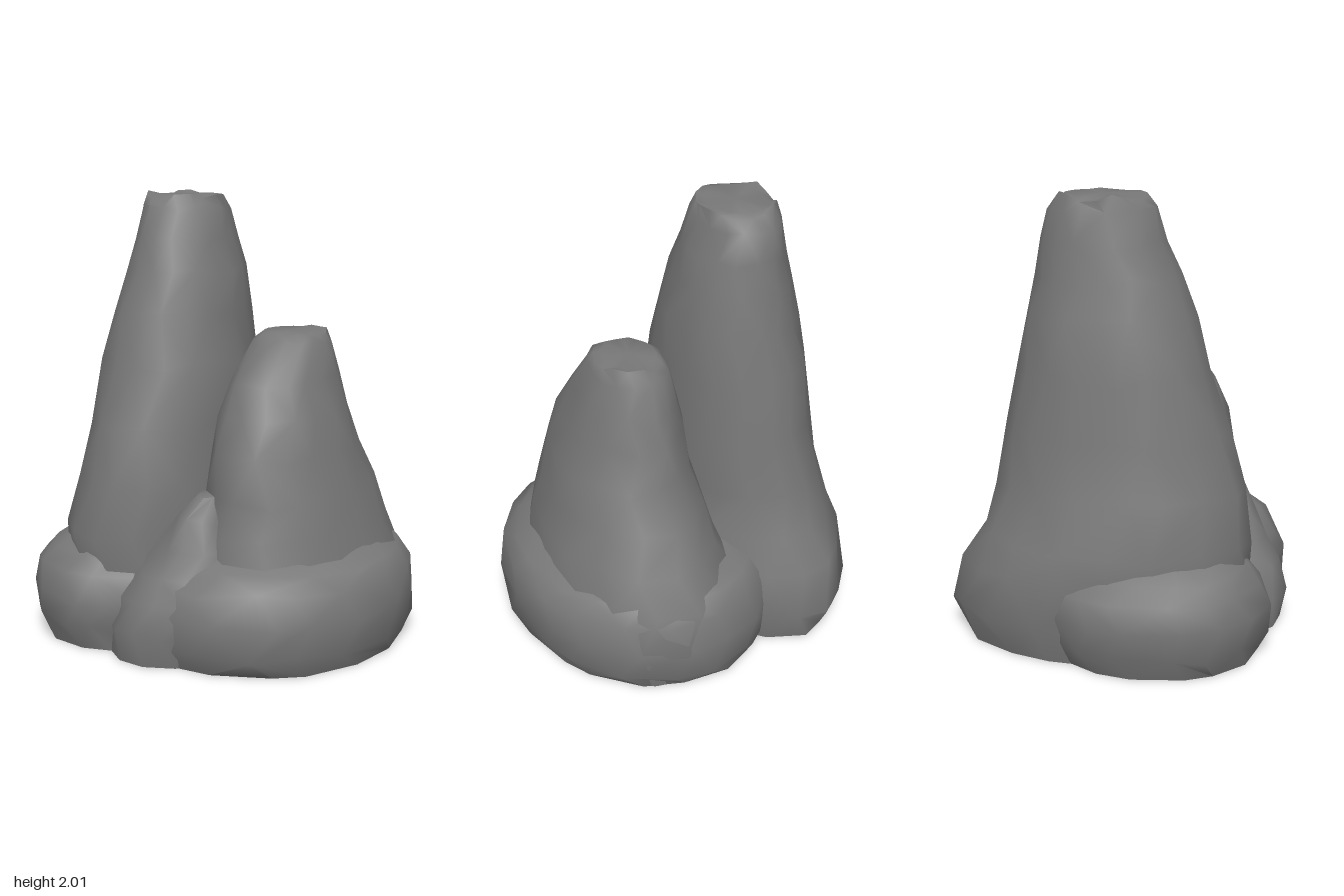
import * as THREE from 'three';
import { toCreasedNormals } from 'three/addons/utils/BufferGeometryUtils.js';

// Small seeded generator for the rough rock surface, returns -1..1
function seeded(seed) {
  let s = seed;
  return () => {
    s = (s * 16807) % 2147483647;
    return (s / 2147483647) * 2 - 1;
  };
}

// Loft a rock through elliptical sections [y, xMin, xMax, zMin, zMax], with chipped irregular facets
function rock(name, sections, sides, rough, seed, material) {
  const rnd = seeded(seed);
  for (let i = 0; i < 5; i++) rnd();
  const pos = [];
  const index = [];
  const turn = Array.from({ length: sides }, () => rnd() * 0.06);
  const groove = Array.from({ length: sides }, () => rnd() * rough * 0.5);
  const last = sections.length - 1;
  sections.forEach(([y, x0, x1, z0, z1], r) => {
    const flat = r === 0 || r === last;
    for (let i = 0; i < sides; i++) {
      const a = ((i + (r % 2) * 0.35) / sides) * Math.PI * 2 + turn[i] + rnd() * 0.04;
      const k = 1.01 + groove[i] + rnd() * rough;
      pos.push(
        (x0 + x1) / 2 + Math.cos(a) * k * (x1 - x0) / 2,
        y + (flat ? 0 : rnd() * 0.02),
        (z0 + z1) / 2 + Math.sin(a) * k * (z1 - z0) / 2
      );
    }
  });
  for (let r = 0; r < last; r++) {
    for (let i = 0; i < sides; i++) {
      const a = r * sides + i, b = r * sides + (i + 1) % sides;
      const c = a + sides, d = b + sides;
      if ((i + r) % 2) index.push(a, c, b, b, c, d);
      else index.push(a, c, d, a, d, b);
    }
  }
  // Flat underside and flat top
  for (const r of [0, last]) {
    const [y, x0, x1, z0, z1] = sections[r];
    const centre = pos.length / 3;
    pos.push((x0 + x1) / 2, y, (z0 + z1) / 2);
    for (let i = 0; i < sides; i++) {
      const a = r * sides + i, b = r * sides + (i + 1) % sides;
      if (r) index.push(centre, b, a);
      else index.push(centre, a, b);
    }
  }
  const geometry = new THREE.BufferGeometry();
  geometry.setAttribute('position', new THREE.Float32BufferAttribute(pos, 3));
  geometry.setIndex(index);
  const mesh = new THREE.Mesh(toCreasedNormals(geometry, 0.95), material);
  mesh.name = name;
  return mesh;
}

export function createModel() {
  const model = new THREE.Group();
  model.name = 'rockFormation';
  const stone = new THREE.MeshStandardMaterial({ color: 0x787878 });
  stone.name = 'grey stone';

  // Tall spire
  model.add(rock('tallSpire', [
    [0, -0.70, 0.06, -0.69, 0.55],
    [0.15, -0.74, 0.08, -0.74, 0.60],
    [0.36, -0.74, 0.09, -0.69, 0.61],
    [0.50, -0.73, 0.08, -0.59, 0.61],
    [0.72, -0.67, 0.06, -0.53, 0.58],
    [0.98, -0.62, 0.06, -0.49, 0.51],
    [1.25, -0.60, 0.05, -0.44, 0.42],
    [1.48, -0.55, 0.02, -0.40, 0.35],
    [1.66, -0.51, -0.01, -0.36, 0.29],
    [1.80, -0.48, -0.05, -0.33, 0.22],
    [1.94, -0.45, -0.09, -0.30, 0.18],
    [1.995, -0.44, -0.11, -0.25, 0.14],
    [2.00, -0.40, -0.14, -0.22, 0.10]
  ], 17, 0.022, 71, stone));

  // Short spire, flaring into its foot at the back
  model.add(rock('shortSpire', [
    [0, -0.15, 0.74, -0.70, 0.55],
    [0.22, -0.15, 0.76, -0.73, 0.57],
    [0.40, -0.12, 0.73, -0.69, 0.54],
    [0.55, -0.06, 0.69, -0.61, 0.50],
    [0.70, -0.02, 0.64, -0.52, 0.47],
    [0.88, 0.01, 0.59, -0.42, 0.43],
    [1.05, 0.03, 0.54, -0.37, 0.37],
    [1.20, 0.06, 0.49, -0.33, 0.28],
    [1.35, 0.11, 0.45, -0.28, 0.13],
    [1.39, 0.13, 0.43, -0.24, 0.09],
    [1.40, 0.16, 0.39, -0.21, 0.06]
  ], 16, 0.022, 523, stone));

  // Broad boulder around the foot of the short spire
  model.add(rock('rightBoulder', [
    [0, -0.35, 0.80, -0.71, 0.67],
    [0.08, -0.38, 0.84, -0.74, 0.71],
    [0.22, -0.39, 0.85, -0.75, 0.71],
    [0.35, -0.37, 0.83, -0.72, 0.67],
    [0.42, -0.30, 0.78, -0.66, 0.59],
    [0.48, -0.16, 0.67, -0.50, 0.46]
  ], 18, 0.014, 907, stone));

  // Boulder at the foot of the tall spire
  model.add(rock('leftBoulder', [
    [0, -0.79, 0.00, -0.26, 0.66],
    [0.10, -0.83, 0.02, -0.33, 0.71],
    [0.22, -0.85, 0.03, -0.34, 0.71],
    [0.35, -0.83, 0.00, -0.31, 0.67],
    [0.42, -0.76, -0.08, -0.22, 0.61],
    [0.49, -0.62, -0.20, -0.05, 0.52]
  ], 16, 0.016, 1301, stone));

  // Broad leaning rock wedged between the spires
  model.add(rock('frontRidge', [
    [0, -0.33, 0.24, 0.10, 0.73],
    [0.14, -0.32, 0.26, 0.10, 0.75],
    [0.26, -0.28, 0.29, 0.10, 0.71],
    [0.38, -0.20, 0.30, 0.10, 0.65],
    [0.50, -0.11, 0.27, 0.12, 0.59],
    [0.62, -0.02, 0.23, 0.15, 0.53],
    [0.71, 0.06, 0.19, 0.20, 0.45]
  ], 13, 0.018, 2203, stone));

  return model;
}
